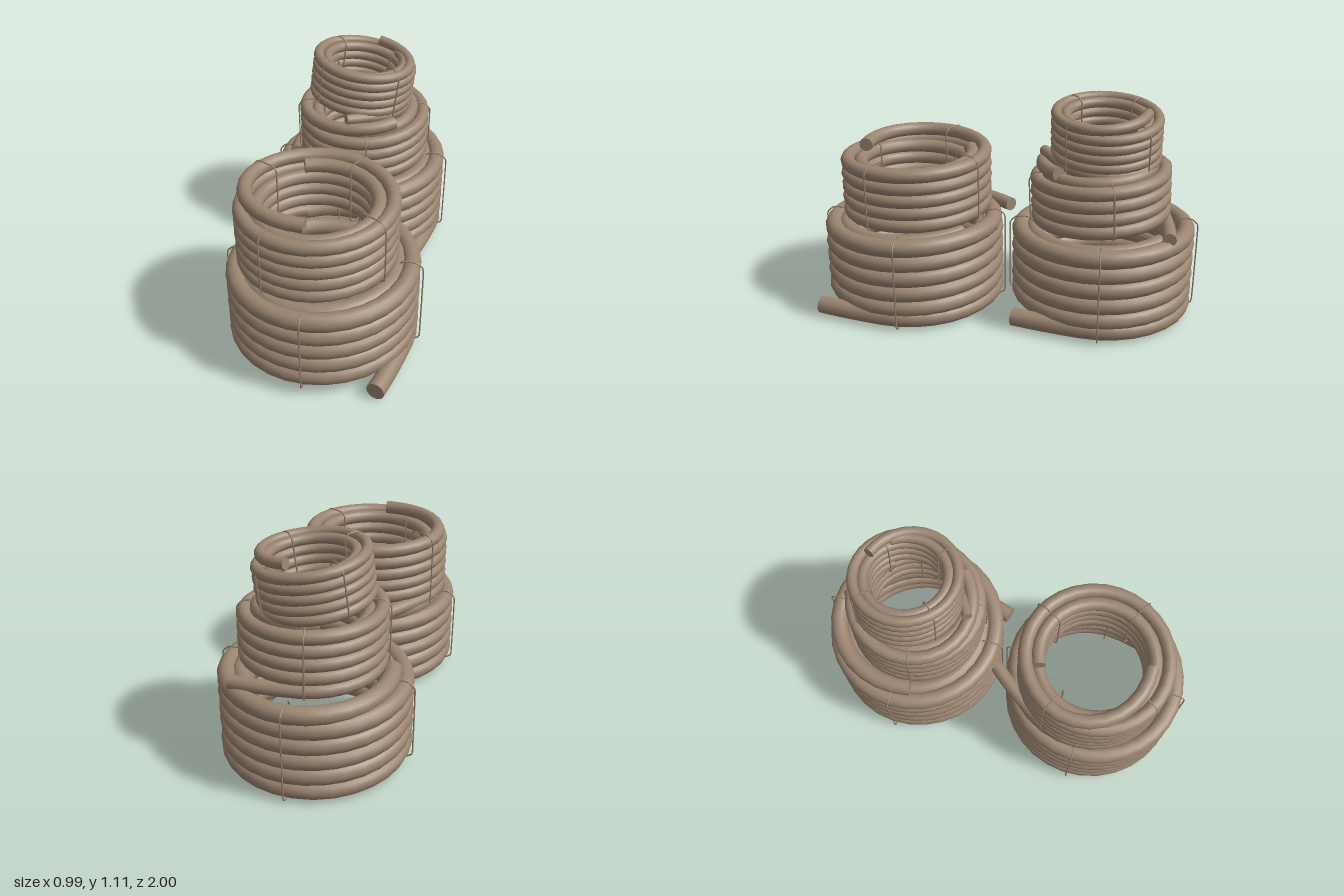
import * as THREE from 'three';

const pipeBrown = new THREE.MeshStandardMaterial({ color: 0x9a8470 });
pipeBrown.name = 'pipeBrown';

const rad = THREE.MathUtils.degToRad;

// Point on a winding: counter-clockwise seen from above, 0 degrees at +x
function polar(r, deg, y) {
  return new THREE.Vector3(r * Math.cos(rad(deg)), y, -r * Math.sin(rad(deg)));
}

// Height of the outer winding after turning by a degrees
function heightAt(c, a) {
  return THREE.MathUtils.clamp(c.y0 + c.pitch * a / 360, c.floor, c.ceiling);
}

// Capped round pipe along a list of points
function makePipe(name, points, radius) {
  const group = new THREE.Group();
  group.name = name;
  const curve = new THREE.CatmullRomCurve3(points);
  const tube = new THREE.Mesh(new THREE.TubeGeometry(curve, points.length, radius, 14), pipeBrown);
  tube.name = name + 'Tube';
  group.add(tube);
  for (const [t, sign] of [[0, -1], [1, 1]]) {
    const cap = new THREE.Mesh(new THREE.CircleGeometry(radius, 14), pipeBrown);
    cap.name = name + 'End';
    cap.position.copy(curve.getPoint(t));
    cap.lookAt(cap.position.clone().addScaledVector(curve.getTangent(t), sign));
    group.add(cap);
  }
  return group;
}

// Outer winding: loose, slightly bent tail, helix, inward turn at the top
function outerPoints(c) {
  const points = [];
  const start = polar(c.r, c.start, heightAt(c, 0));
  const tangent = polar(1, c.start + 90, 0);
  const inward = polar(-1, c.start, 0);
  for (let i = 5; i > 0; i--) {
    const k = i / 5;
    points.push(start.clone().addScaledVector(tangent, -c.tail * k).addScaledVector(inward, c.bend * k * k));
  }
  for (let a = 0; a <= c.sweep; a += 12) {
    const k = THREE.MathUtils.smoothstep(a, c.sweep - 120, c.sweep);
    points.push(polar(c.r + (c.endR - c.r) * k, c.start + a, heightAt(c, a)));
  }
  return points;
}

// Inner winding, ending just below the top
function innerPoints(c) {
  const points = [];
  const sweep = c.innerTurns * 360;
  for (let a = 0; a <= sweep; a += 12) {
    points.push(polar(c.innerR, c.innerEnd - sweep + a, c.innerTop - c.pitch * (sweep - a) / 360));
  }
  return points;
}

// Thin wire tie hugging the wall of a coil between its lowest and highest outer pass
function makeTie(c, deg) {
  const offset = THREE.MathUtils.euclideanModulo(deg - c.start, 360);
  const last = offset + 360 * Math.floor((c.sweep - 60 - offset) / 360);
  const low = heightAt(c, offset) - c.tube - 0.003;
  const high = heightAt(c, last) + c.tube + 0.003;
  const [inR, outR] = c.tieSpan;
  const b = 0.025;
  const profile = [
    [inR + b, low], [outR - b * 1.5, low], [outR, low + b], [outR, high - b * 1.5],
    [outR - b * 1.5, high], [inR + b, high], [inR, high - b], [inR, low + b],
  ];
  const points = profile.map(([r, y]) => polar(r, deg, y));
  const curve = new THREE.CatmullRomCurve3(points, true, 'catmullrom', 0.1);
  const mesh = new THREE.Mesh(new THREE.TubeGeometry(curve, 64, 0.004, 6, true), pipeBrown);
  mesh.name = 'wireTie';
  return mesh;
}

function makeCoil(c) {
  const coil = new THREE.Group();
  coil.name = c.name;
  const content = new THREE.Group();
  content.name = 'windings';
  content.add(makePipe('outerWinding', outerPoints(c), c.tube));
  content.add(makePipe('innerWinding', innerPoints(c), c.tube));
  for (let i = 0; i < 4; i++) content.add(makeTie(c, c.tieStart + i * 90));
  // Lean the coil about its own middle
  content.position.y = -c.mid;
  coil.add(content);
  coil.position.set(c.x, c.mid, c.z);
  coil.rotation.set(rad(c.leanX ?? 0), 0, rad(c.leanZ ?? 0));
  return coil;
}

export function createModel() {
  const model = new THREE.Group();
  model.name = 'pipeCoils';

  // Large bottom coils
  for (const [name, z] of [['frontLargeCoil', 0.505], ['backLargeCoil', -0.505]]) {
    model.add(makeCoil({
      name, x: -0.008, z, mid: 0.25, r: 0.432, tube: 0.046, start: -10, tail: 0.37, bend: 0.02,
      y0: 0.027, floor: 0.055, ceiling: 0.455, pitch: 0.083, sweep: 2004, endR: 0.37,
      innerR: 0.362, innerEnd: 60, innerTop: 0.453, innerTurns: 1.15,
      tieStart: 0, tieSpan: [0.372, 0.491],
    }));
  }

  // Medium coils
  model.add(makeCoil({
    name: 'frontMediumCoil', x: -0.037, z: 0.49, mid: 0.66, r: 0.362, tube: 0.036,
    start: 152, tail: 0.39, bend: 0.045,
    y0: 0.486, floor: 0.486, ceiling: 0.828, pitch: 0.066, sweep: 1920, endR: 0.272,
    innerR: 0.296, innerEnd: 115, innerTop: 0.79, innerTurns: 4,
    tieStart: 63, tieSpan: [0.254, 0.403],
  }));
  model.add(makeCoil({
    name: 'backMediumCoil', x: 0.008, z: -0.485, mid: 0.66, leanX: 2.5, r: 0.327, tube: 0.035,
    start: 99, tail: 0.34, bend: 0.035,
    y0: 0.496, floor: 0.496, ceiling: 0.81, pitch: 0.067, sweep: 1656, endR: 0.28,
    innerR: 0.264, innerEnd: 115, innerTop: 0.795, innerTurns: 4,
    tieStart: 12, tieSpan: [0.224, 0.367],
  }));

  // Small top coil
  model.add(makeCoil({
    name: 'smallCoil', x: -0.004, z: -0.505, mid: 0.97, leanZ: -7.2, r: 0.257, tube: 0.027,
    start: -54, tail: 0.2, bend: 0.01,
    y0: 0.814, floor: 0.835, ceiling: 1.09, pitch: 0.05, sweep: 1932, endR: 0.205,
    innerR: 0.21, innerEnd: 40, innerTop: 1.06, innerTurns: 4,
    tieStart: 48, tieSpan: [0.18, 0.287],
  }));

  return model;
}
